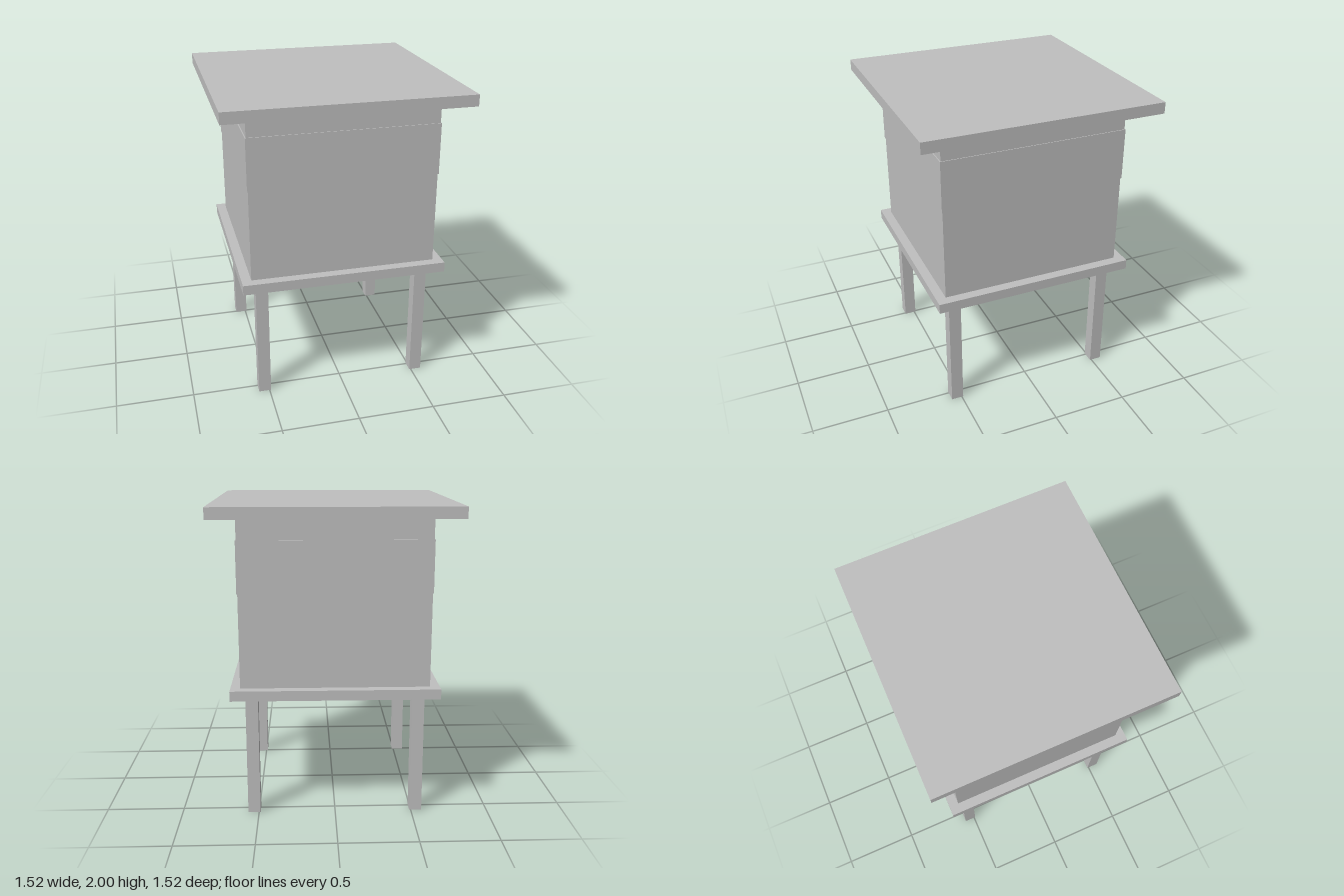
import * as THREE from 'three';

export function createModel() {
  const group = new THREE.Group();
  const paint = new THREE.MeshStandardMaterial({ color: 0xbfbfbf });
  paint.name = 'light grey';

  // Square slab of a given width between two heights
  function slab(name, width, bottom, top, x = 0, z = 0) {
    const mesh = new THREE.Mesh(new THREE.BoxGeometry(width, top - bottom, width), paint);
    mesh.position.set(x, (bottom + top) / 2, z);
    mesh.name = name;
    group.add(mesh);
  }

  // Four square legs
  for (const x of [-0.53, 0.53]) {
    for (const z of [-0.53, 0.53]) {
      const name = (z > 0 ? 'front' : 'back') + (x > 0 ? 'Left' : 'Right') + 'Leg';
      slab(name, 0.08, 0, 0.797, x, z);
    }
  }

  // Stacked hive boxes between the floor board and the overhanging roof
  slab('floorBoard', 1.32, 0.797, 0.862);
  slab('lowerBox', 1.196, 0.862, 1.46);
  slab('upperBox', 1.206, 1.46, 1.79);
  slab('innerCover', 1.196, 1.79, 1.928);
  slab('roof', 1.524, 1.928, 2);

  return group;
}
